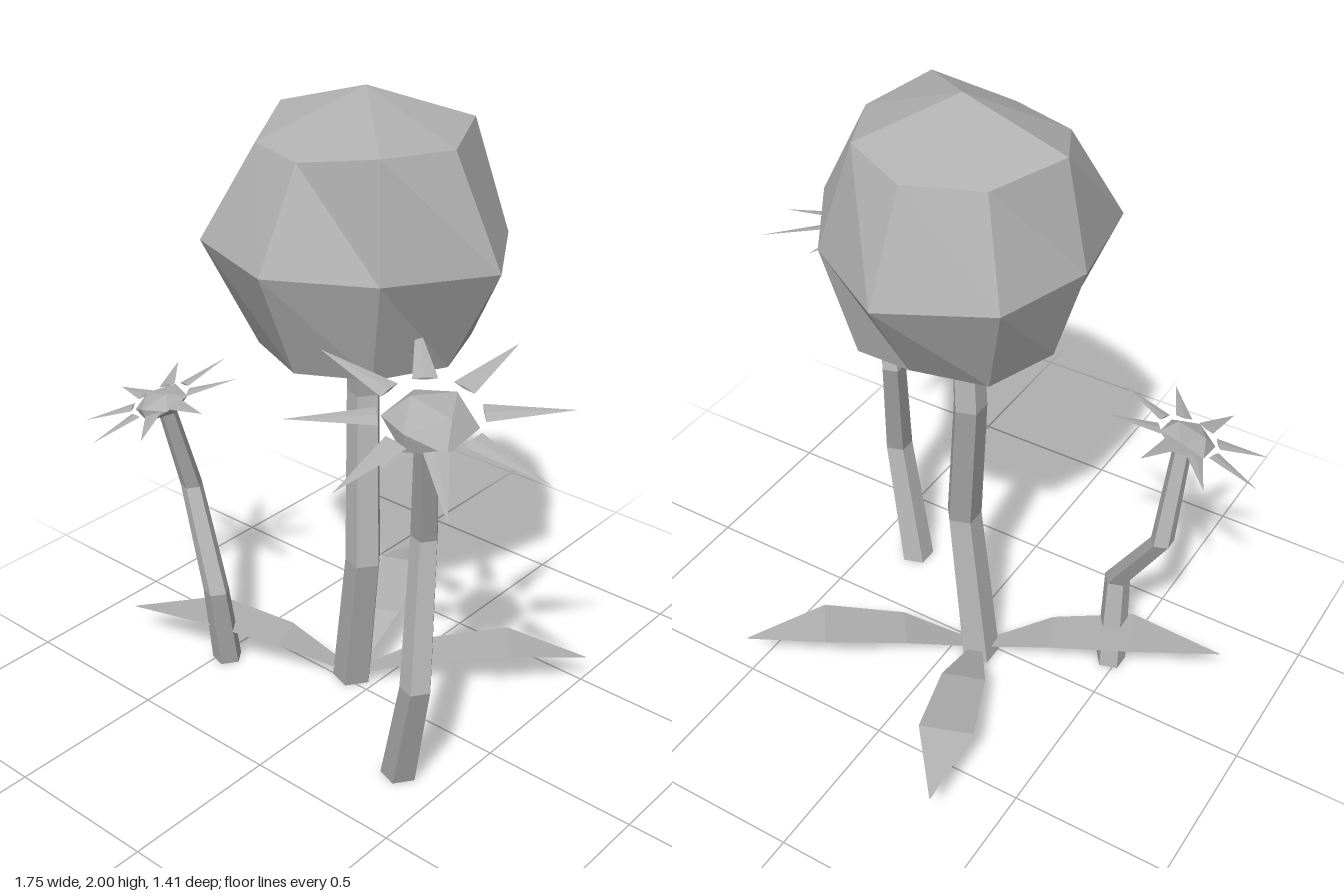
import * as THREE from 'three';

const grey = new THREE.MeshStandardMaterial({ color: 0xb0b0b0, flatShading: true, side: THREE.DoubleSide });
grey.name = 'plain grey';

function mesh(name, geometry) {
  const m = new THREE.Mesh(geometry, grey);
  m.name = name;
  return m;
}

// Skins a stack of closed rings (anticlockwise seen from above), with a fan at each end
function loft(rings, bottom, top) {
  const n = rings[0].length, index = [];
  const points = [...rings.flat(), bottom, top];
  const lo = rings.length * n, hi = lo + 1, last = lo - n;
  for (let k = 0; k < n; k++) {
    const j = (k + 1) % n;
    for (let r = 0; r < rings.length - 1; r++) {
      const a = r * n + k, b = r * n + j, c = b + n, d = a + n;
      index.push(a, b, d, b, c, d);
    }
    index.push(lo, j, k, hi, last + k, last + j);
  }
  return faceted(points, index);
}

function faceted(points, index) {
  const g = new THREE.BufferGeometry();
  g.setAttribute('position', new THREE.Float32BufferAttribute(points.flat(), 3));
  g.setIndex(index);
  const flat = g.toNonIndexed();
  flat.computeVertexNormals();
  return flat;
}

// Five-sided kinked stem through [x, y, z, radius] nodes
function stem(name, nodes) {
  const rings = nodes.map(([x, y, z, r]) => Array.from({ length: 5 }, (_, k) => {
    const a = k * Math.PI * 2 / 5;
    return [x + r * Math.cos(a), y, z - r * Math.sin(a)];
  }));
  return mesh(name, loft(rings, nodes[0].slice(0, 3), nodes[nodes.length - 1].slice(0, 3)));
}

// Tilted flower: flattened core with eight loose pointed petals
function flower(name, { core, centre, slopeX, slopeZ, coreRadius, inner, outer, width, turn }) {
  const group = new THREE.Group();
  group.name = name;
  group.position.set(...centre);
  const normal = new THREE.Vector3(-slopeX, 1, -slopeZ).normalize();
  group.quaternion.setFromUnitVectors(new THREE.Vector3(0, 1, 0), normal);
  const heart = mesh('flowerCore', new THREE.IcosahedronGeometry(coreRadius, 0));
  heart.scale.y = 0.45;
  heart.position.y = core;
  group.add(heart);
  const petal = new THREE.ConeGeometry(width / 2, outer - inner, 4);
  petal.scale(1, 1, 0.12);
  petal.rotateX(Math.PI / 2);
  petal.translate(0, 0, (inner + outer) / 2);
  for (let i = 0; i < 8; i++) {
    const p = mesh('petal', petal);
    p.rotation.y = turn + i * Math.PI / 4;
    group.add(p);
  }
  return group;
}

// Arched leaf from the foot of the tall stem
function leaf(angle, length) {
  const sections = [[0.03, 0.03, 0.02], [0.24, 0.115, 0.07], [0.5, 0.157, 0.085], [length, 0.11, 0.002]];
  const points = [], index = [];
  sections.forEach(([r, y, w], i) => {
    points.push([r, y, -w], [r, y, w]);
    if (i) {
      const a = i * 2 - 2;
      index.push(a, a + 1, a + 2, a + 1, a + 3, a + 2);
    }
  });
  const m = mesh('leaf', faceted(points, index));
  m.position.set(-0.08, 0, -0.03);
  m.rotation.y = -THREE.MathUtils.degToRad(angle);
  return m;
}

export function createModel() {
  const model = new THREE.Group();
  model.name = 'plantCluster';

  // Large uneven faceted ball
  const lower = [[0.3, 1.25, 0], [0.2, 1.24, -0.24], [0, 1.275, -0.28], [-0.21, 1.25, -0.2],
    [-0.3, 1.27, 0], [-0.22, 1.25, 0.22], [0, 1.25, 0.31], [0.21, 1.26, 0.22]];
  const middle = [[0.47, 1.57, 0], [0.29, 1.57, -0.28], [0, 1.57, -0.46], [-0.3, 1.57, -0.3],
    [-0.39, 1.57, 0], [-0.33, 1.57, 0.33], [0, 1.57, 0.44], [0.285, 1.57, 0.28]];
  const upper = [[0.31, 1.88, 0], [0.2, 1.9, -0.23], [0, 1.875, -0.31], [-0.2, 1.86, -0.2],
    [-0.32, 1.9, 0], [-0.21, 1.85, 0.22], [0, 1.85, 0.285], [0.25, 1.9, 0.24]];
  model.add(mesh('ballHead', loft([lower, middle, upper], [0, 1.14, 0], [0, 2, 0])));

  // Stems
  model.add(stem('tallStem', [[-0.087, 0, -0.034, 0.066], [0.012, 0.515, 0.025, 0.058],
    [-0.065, 1.04, -0.067, 0.053], [-0.01, 1.5, -0.01, 0.045]]));
  model.add(stem('leftStem', [[0.345, 0, 0.25, 0.058], [0.46, 0.41, 0.32, 0.049],
    [0.395, 0.835, 0.21, 0.042], [0.485, 1.25, 0.325, 0.034]]));
  model.add(stem('rightStem', [[-0.475, 0, 0.16, 0.05], [-0.45, 0.305, 0.22, 0.043],
    [-0.622, 0.605, 0.145, 0.037], [-0.62, 0.93, 0.24, 0.03]]));

  // Flowers
  model.add(flower('leftFlower', { core: -0.025, centre: [0.495, 1.29, 0.325], slopeX: -0.21, slopeZ: -0.2,
    coreRadius: 0.13, inner: 0.14, outer: 0.385, width: 0.07, turn: 0 }));
  model.add(flower('rightFlower', { core: -0.01, centre: [-0.63, 0.945, 0.25], slopeX: 0.27, slopeZ: -0.235,
    coreRadius: 0.09, inner: 0.095, outer: 0.26, width: 0.055, turn: -0.2 }));

  // Leaves
  model.add(leaf(-110, 0.725), leaf(-36.6, 0.755), leaf(158, 0.785));
  return model;
}
